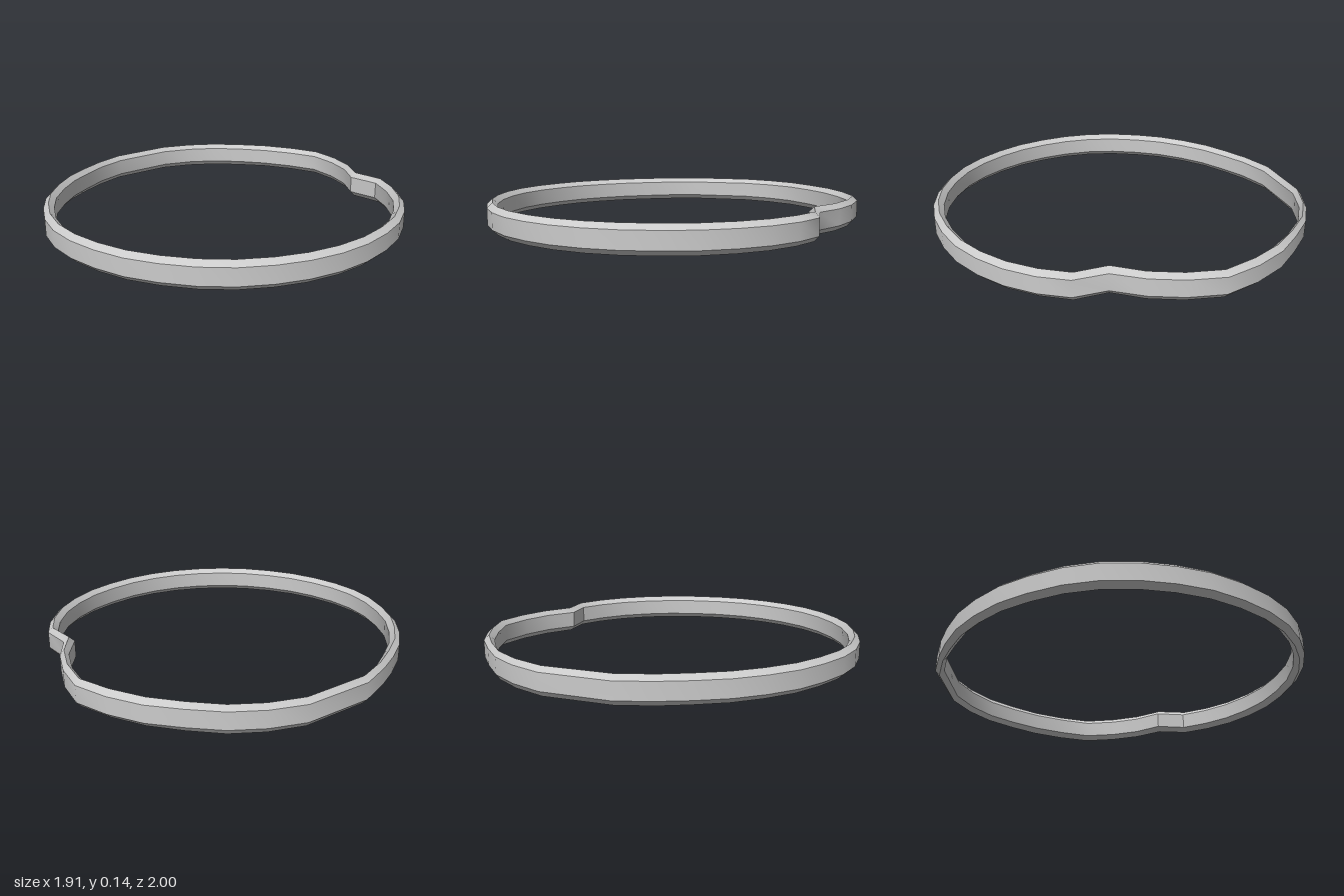
import * as THREE from 'three';
import { toCreasedNormals } from 'three/addons/utils/BufferGeometryUtils.js';

// Outer outline seen from above, starting at the back: [x, z, band width]
const OUTLINE = [
  [0, -1, 0.057], [0.185, -0.982, 0.05], [0.34, -0.885, 0.047], [0.465, -0.767, 0.046],
  [0.565, -0.625, 0.056], [0.725, -0.565, 0.05], // notch
  [0.825, -0.44, 0.055], [0.9, -0.29, 0.055], [0.942, -0.13, 0.055], [0.957, 0.04, 0.055],
  [0.938, 0.21, 0.055], [0.895, 0.375, 0.055], [0.825, 0.525, 0.055], [0.73, 0.66, 0.055],
  [0.617, 0.772, 0.055], [0.48, 0.87, 0.055], [0.327, 0.938, 0.055], [0.165, 0.978, 0.055],
  [0, 0.995, 0.057],
  [-0.165, 0.978, 0.055], [-0.325, 0.938, 0.055], [-0.476, 0.87, 0.055], [-0.61, 0.772, 0.055],
  [-0.725, 0.648, 0.055], [-0.82, 0.515, 0.055], [-0.89, 0.36, 0.055], [-0.937, 0.2, 0.053],
  [-0.955, 0.03, 0.05], [-0.957, -0.12, 0.042], [-0.942, -0.305, 0.048],
  [-0.794, -0.63, 0.042], [-0.667, -0.762, 0.038], [-0.524, -0.862, 0.038],
  [-0.355, -0.93, 0.042], [-0.185, -0.984, 0.054],
];

// Six-sided band section: [share of width inward, height]
const SECTION = [[0, 0.027], [0, 0.114], [0.5, 0.14], [1, 0.114], [1, 0.027], [0.5, 0]];

function bandGeometry() {
  const positions = [], index = [];
  const n = OUTLINE.length, m = SECTION.length;
  for (const [x, z, width] of OUTLINE) {
    const radius = Math.hypot(x, z);
    for (const [inward, y] of SECTION) {
      const s = 1 - (inward * width) / radius;
      positions.push(x * s, y, z * s);
    }
  }
  for (let i = 0; i < n; i++) {
    for (let j = 0; j < m; j++) {
      const next = (i + 1) % n, up = (j + 1) % m;
      const a = i * m + j, b = next * m + j, c = next * m + up, d = i * m + up;
      index.push(a, d, c, a, c, b);
    }
  }
  const geometry = new THREE.BufferGeometry();
  geometry.setAttribute('position', new THREE.Float32BufferAttribute(positions, 3));
  geometry.setIndex(index);
  // Smooth along the band, sharp at the bevels and the notch
  return toCreasedNormals(geometry, 0.6);
}

export function createModel() {
  const group = new THREE.Group();
  group.name = 'ring';
  const band = new THREE.Mesh(bandGeometry(), new THREE.MeshStandardMaterial({ color: 0xcccccc }));
  band.name = 'notchedBand';
  group.add(band);
  return group;
}
